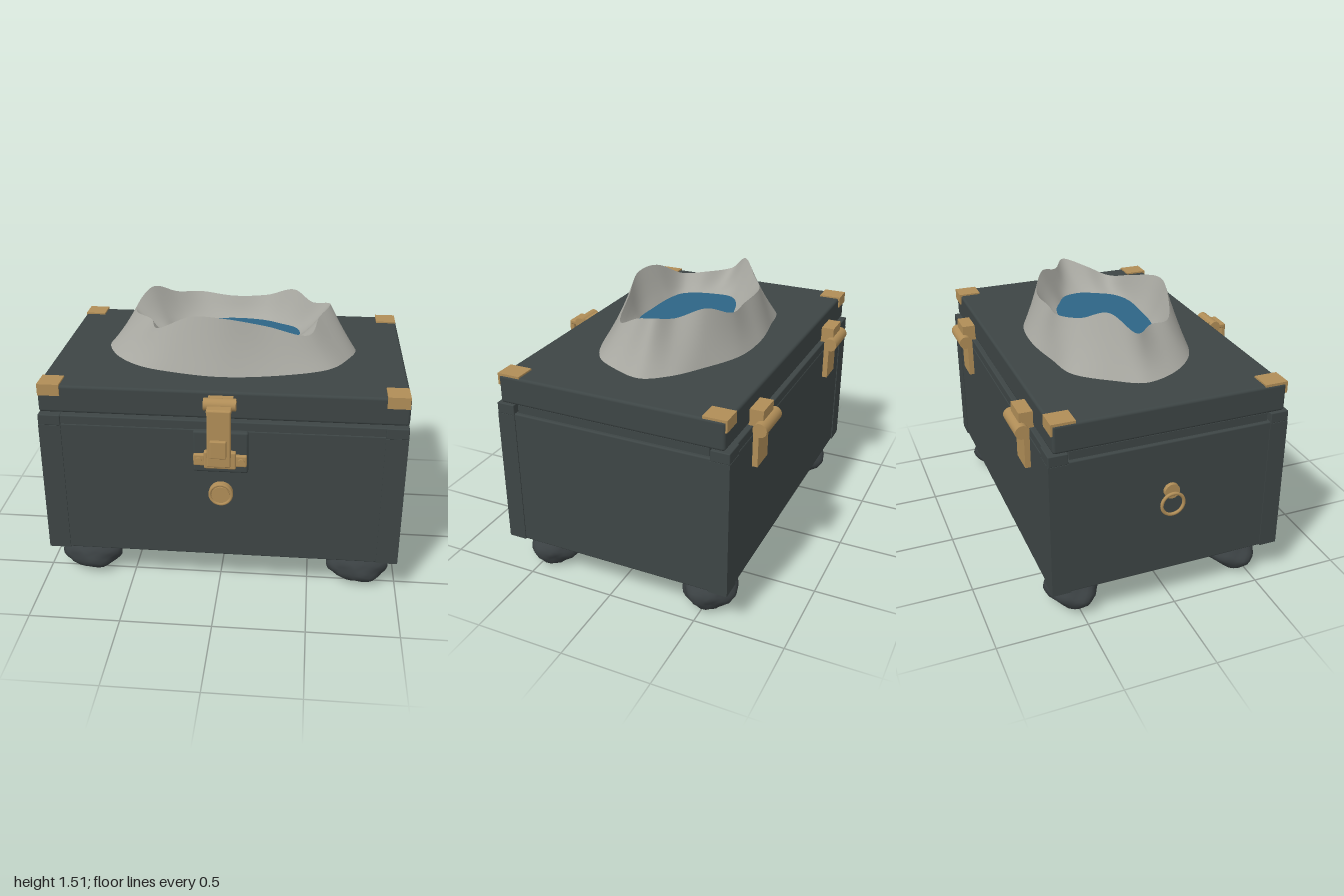
import * as THREE from 'three';
import { RoundedBoxGeometry } from 'three/addons/geometries/RoundedBoxGeometry.js';
import { mergeVertices } from 'three/addons/utils/BufferGeometryUtils.js';

const mat = (name, color, side = THREE.FrontSide) => {
  const m = new THREE.MeshStandardMaterial({ color, side });
  m.name = name;
  return m;
};

export function createModel() {
  const model = new THREE.Group();
  model.name = 'chest';
  const dark = mat('dark slate', 0x3d4545);
  const rock = mat('dark rock', 0x3a4042);
  const brass = mat('brass', 0xb08d57);
  const stone = mat('grey stone', 0xa8a8a1, THREE.DoubleSide);
  const water = mat('blue water', 0x2d6585);
  const CX = 0.014;

  const add = (name, geo, material, parent = model) => {
    const mesh = new THREE.Mesh(geo, material);
    mesh.name = name;
    parent.add(mesh);
    return mesh;
  };
  // Box given by its limits on each axis, with optional rounded edges
  const box = (name, m, [x0, x1], [y0, y1], [z0, z1], r = 0, parent = model) => {
    const s = [x1 - x0, y1 - y0, z1 - z0];
    const g = r ? new RoundedBoxGeometry(...s, 2, r) : new THREE.BoxGeometry(...s);
    g.translate((x0 + x1) / 2, (y0 + y1) / 2, (z0 + z1) / 2);
    return add(name, g, m, parent);
  };
  // Cylinder along a chosen axis
  const rod = (name, m, axis, r, len, [x, y, z], parent = model, seg = 24) => {
    const g = new THREE.CylinderGeometry(r, r, len, seg);
    if (axis === 'x') g.rotateZ(Math.PI / 2);
    if (axis === 'z') g.rotateX(Math.PI / 2);
    g.translate(x, y, z);
    return add(name, g, m, parent);
  };

  // Body, rails and corner posts
  box('body', dark, [-0.96, 0.988], [0.22, 1.0], [-0.675, 0.625], 0.008);
  box('base', dark, [-0.885, 0.915], [0.19, 0.23], [-0.58, 0.53]);
  box('innerRail', dark, [-0.94, 0.968], [0.99, 1.045], [-0.565, 0.52]);
  box('frontRail', dark, [-0.85, 0.88], [0.99, 1.048], [0.53, 0.622], 0.006);
  box('backRail', dark, [-0.85, 0.88], [0.99, 1.048], [-0.672, -0.577], 0.006);
  for (const x of [[-0.965, -0.845], [0.875, 0.993]])
    for (const z of [[0.53, 0.631], [-0.68, -0.577]]) {
      box('cornerPost', dark, x, [0.22, 0.99], z);
      box('postCap', dark, x, [0.99, 1.05], z, 0.005);
    }

  // Lid with brass corner plates
  box('lid', dark, [-0.963, 0.993], [1.055, 1.21], [-0.653, 0.605], 0.015);
  for (const x of [[-0.96, -0.842], [0.87, 0.988]])
    for (const [top, face] of [[[0.485, 0.613], [0.603, 0.613]], [[-0.661, -0.533], [-0.661, -0.651]]]) {
      box('cornerPlateTop', brass, x, [1.205, 1.219], top);
      box('cornerPlateFace', brass, x, [1.155, 1.215], face);
    }

  // Lumpy rock feet
  const footGeo = () => {
    const src = new THREE.IcosahedronGeometry(1, 5);
    src.deleteAttribute('normal');
    src.deleteAttribute('uv');
    const g = mergeVertices(src, 1e-4);
    const p = g.attributes.position;
    for (let i = 0; i < p.count; i++) {
      const x = p.getX(i), y = p.getY(i), z = p.getZ(i);
      const k = 1 + 0.045 * Math.sin(5 * x + 3 * y + 1) + 0.04 * Math.sin(6 * z - 4 * y)
        + 0.025 * Math.sin(11 * x + 7 * z) * Math.cos(9 * y);
      p.setXYZ(i, x * k * 0.172, y * k * 0.096, z * k * 0.145);
    }
    g.computeVertexNormals();
    return g;
  };
  const foot = footGeo();
  for (const x of [-0.755, 0.79])
    for (const z of [0.455, -0.505]) add('foot', foot, rock).position.set(x, 0.105, z);

  // Front hasp
  const hasp = new THREE.Group();
  hasp.name = 'hasp';
  model.add(hasp);
  box('haspBackPlate', dark, [-0.13, 0.163], [0.765, 1.005], [0.62, 0.66], 0.012, hasp);
  rod('haspPivot', brass, 'x', 0.033, 0.17, [CX, 1.165, 0.66], hasp);
  box('pivotMount', brass, [-0.05, 0.08], [1.14, 1.19], [0.6, 0.65], 0, hasp);
  box('haspArm', brass, [-0.05, 0.08], [1.142, 1.168], [0.66, 0.742], 0.008, hasp);
  box('haspStrap', brass, [-0.047, 0.077], [0.84, 1.165], [0.716, 0.745], 0.008, hasp);
  box('haspTab', brass, [-0.03, 0.056], [0.9, 1.0], [0.74, 0.764], 0.006, hasp);
  box('staplePlate', brass, [-0.127, 0.157], [0.812, 0.878], [0.65, 0.68], 0.008, hasp);
  box('staple', brass, [-0.07, 0.1], [0.8, 0.9], [0.65, 0.688], 0.008, hasp);
  for (const x of [-0.098, 0.128]) rod('screw', brass, 'z', 0.018, 0.02, [x, 0.845, 0.68], hasp, 12);

  // Round lock below the hasp
  rod('lockRim', brass, 'z', 0.066, 0.04, [0.016, 0.626, 0.635]);
  add('lockRing', new THREE.TorusGeometry(0.059, 0.008, 8, 32), brass).position.set(0.016, 0.626, 0.655);
  rod('lockButton', brass, 'z', 0.048, 0.02, [0.016, 0.626, 0.652]);

  // Pull ring on the right side
  rod('ringBoss', brass, 'x', 0.042, 0.022, [-0.971, 0.718, -0.027]);
  const ring = add('pullRing', new THREE.TorusGeometry(0.062, 0.009, 10, 36), brass);
  ring.rotation.y = Math.PI / 2;
  ring.position.set(-0.99, 0.648, -0.027);

  // Back hinges
  for (const x of [-0.58, 0.608]) {
    const hinge = new THREE.Group();
    hinge.name = 'hinge';
    hinge.position.x = x;
    model.add(hinge);
    rod('hingeKnuckle', brass, 'x', 0.038, 0.22, [0, 1.05, -0.722], hinge);
    box('upperLeaf', brass, [-0.072, 0.072], [1.05, 1.14], [-0.727, -0.65], 0, hinge);
    box('lowerLeaf', brass, [-0.072, 0.072], [0.82, 1.05], [-0.705, -0.675], 0, hinge);
  }

  // Crater: three closed contours [x, y, z], starting at +x and turning to the front
  const foothill = [[.73, -.07], [.68, .1], [.58, .25], [.32, .36], [0, .41], [-.26, .37], [-.48, .29], [-.64, .13],
    [-.7, -.06], [-.62, -.2], [-.46, -.38], [-.26, -.42], [0, -.455], [.25, -.43], [.48, -.31], [.64, -.2]]
    .map(([x, z]) => new THREE.Vector3(x, 1.205, z));
  const rim = [[.57, 1.48, -.07], [.51, 1.44, .05], [.46, 1.38, .18], [.22, 1.45, .25], [0, 1.505, .31], [-.18, 1.5, .28],
    [-.38, 1.4, .2], [-.43, 1.41, .08], [-.54, 1.42, -.05], [-.46, 1.52, -.17], [-.33, 1.46, -.28], [-.2, 1.44, -.36],
    [0, 1.42, -.35], [.2, 1.43, -.355], [.36, 1.495, -.27], [.47, 1.46, -.15]].map((p) => new THREE.Vector3(...p));
  const pool = (y, s) => rim.map((_, i) => {
    const a = (i / 16) * Math.PI * 2, w = s * (1 + 0.04 * Math.cos(5 * a + 1));
    const c = Math.cos(a), n = Math.sin(a);
    return new THREE.Vector3(0.02 + 0.365 * w * Math.sign(c) * Math.abs(c) ** 0.85, y,
      -0.022 + 0.228 * w * Math.sign(n) * Math.abs(n) ** 0.85);
  });

  // Joins two contours with a smooth skin
  const N = 128, ROWS = 4;
  const loft = (lower, upper, bow) => {
    const a = new THREE.CatmullRomCurve3(lower, true), b = new THREE.CatmullRomCurve3(upper, true);
    const pos = [], idx = [];
    for (let j = 0; j <= ROWS; j++)
      for (let i = 0; i < N; i++) {
        const t = j / ROWS, p = a.getPoint(i / N).lerp(b.getPoint(i / N), t);
        pos.push(p.x, p.y - bow * Math.sin(t * Math.PI), p.z);
        if (j === ROWS) continue;
        const q = j * N + i, r = j * N + ((i + 1) % N);
        idx.push(q, q + N, r, r, q + N, r + N);
      }
    const g = new THREE.BufferGeometry();
    g.setAttribute('position', new THREE.Float32BufferAttribute(pos, 3));
    g.setIndex(idx);
    g.computeVertexNormals();
    return g;
  };
  add('craterOuterSlope', loft(foothill, rim, 0.01), stone);
  add('craterInnerSlope', loft(rim, pool(1.3, 1), 0.02), stone);

  // Water surface inside the crater
  const edge = new THREE.CatmullRomCurve3(pool(1.31, 1.03), true).getPoints(64);
  const surface = new THREE.ShapeGeometry(new THREE.Shape(edge.map((p) => new THREE.Vector2(p.x, -p.z))));
  surface.rotateX(-Math.PI / 2);
  surface.translate(0, 1.31, 0);
  add('poolWater', surface, water);

  return model;
}
